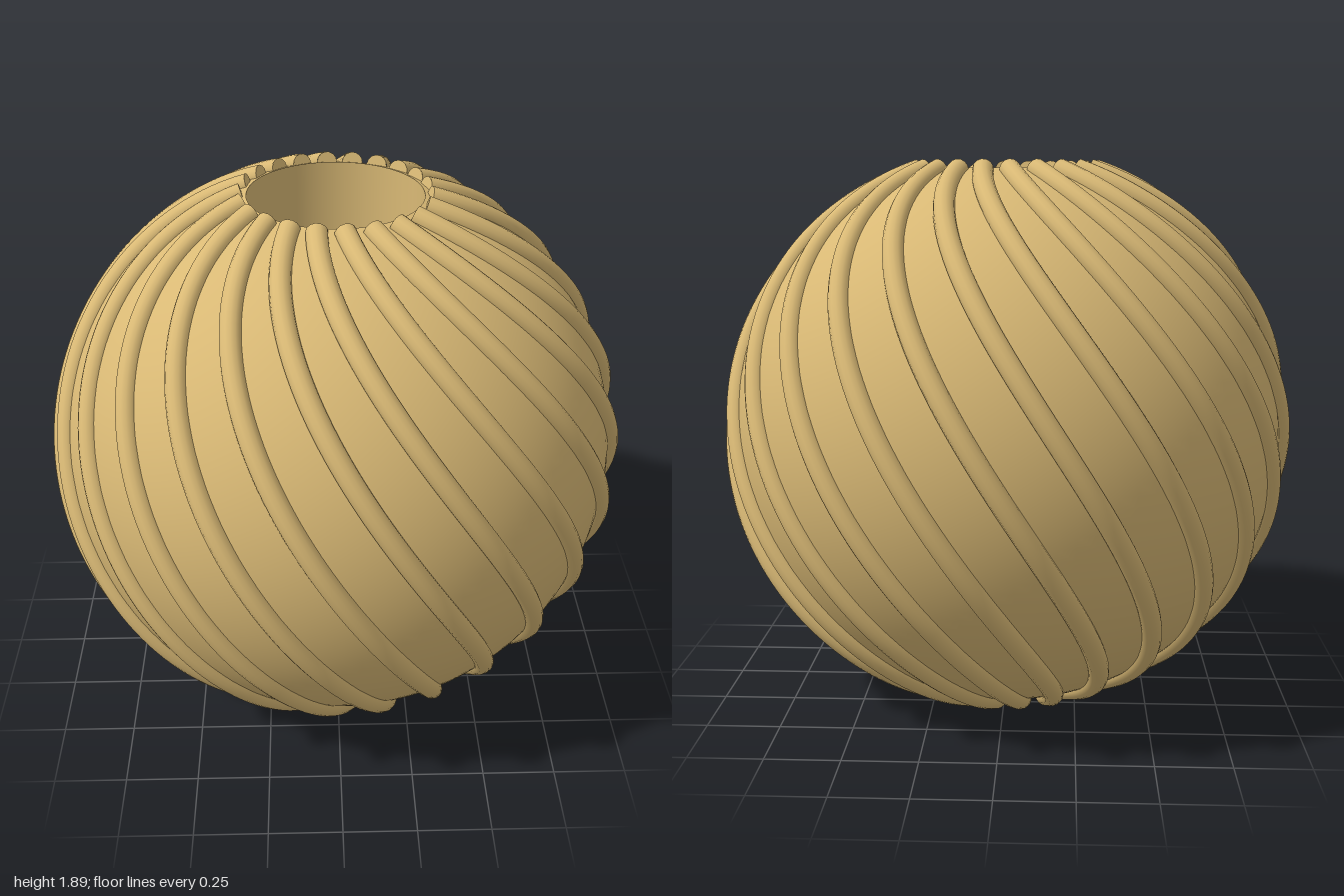
import * as THREE from 'three';
import { mergeGeometries } from 'three/addons/utils/BufferGeometryUtils.js';

const RADIUS = 0.963;      // bead sphere
const BORE = 0.29;         // through hole
const CENTRE_Y = 0.94;
const RIB_COUNT = 22;
const RIB_RADIUS = 0.035;
const RIB_LATITUDE = THREE.MathUtils.degToRad(71.5); // where the ribs end
const TWIST = Math.PI / 2; // turn of each rib from bottom to top

// Spiral on the sphere, turning evenly with latitude
class RibCurve extends THREE.Curve {
  getPoint(t, target = new THREE.Vector3()) {
    const latitude = RIB_LATITUDE * (2 * t - 1);
    const longitude = TWIST * (0.5 - t);
    const r = RADIUS * Math.cos(latitude);
    return target.set(r * Math.sin(longitude), RADIUS * Math.sin(latitude), r * Math.cos(longitude));
  }
}

// One rib: tube with flat caps
function ribGeometry() {
  const curve = new RibCurve();
  const parts = [new THREE.TubeGeometry(curve, 72, RIB_RADIUS, 14, false)];
  for (const t of [0, 1]) {
    const outward = curve.getTangent(t).multiplyScalar(t === 0 ? -1 : 1);
    const turn = new THREE.Quaternion().setFromUnitVectors(new THREE.Vector3(0, 0, 1), outward);
    const end = curve.getPoint(t);
    parts.push(new THREE.CircleGeometry(RIB_RADIUS, 14)
      .applyQuaternion(turn).translate(end.x, end.y, end.z));
  }
  return mergeGeometries(parts);
}

export function createModel() {
  const model = new THREE.Group();
  model.name = 'ribbedBead';
  const tan = new THREE.MeshStandardMaterial({ color: 0xd9b975 });
  tan.name = 'warm tan';

  const add = (geometry, name) => {
    const mesh = new THREE.Mesh(geometry, tan);
    mesh.name = name;
    mesh.position.y = CENTRE_Y;
    model.add(mesh);
    return mesh;
  };

  // Round shell, cut off where the bore meets it
  const rimLatitude = Math.acos(BORE / RADIUS);
  const profile = [];
  for (let i = 0; i <= 64; i++) {
    const a = rimLatitude * (i / 32 - 1);
    profile.push(new THREE.Vector2(RADIUS * Math.cos(a), RADIUS * Math.sin(a)));
  }
  add(new THREE.LatheGeometry(profile, 96), 'shell');

  // Straight hole wall, facing inward
  const rimY = RADIUS * Math.sin(rimLatitude);
  add(new THREE.LatheGeometry([new THREE.Vector2(BORE, rimY), new THREE.Vector2(BORE, -rimY)], 96), 'bore');

  // Spiral ribs around the shell
  const rib = ribGeometry();
  for (let i = 0; i < RIB_COUNT; i++) {
    add(rib, 'spiralRib').rotation.y = (i / RIB_COUNT) * Math.PI * 2;
  }
  return model;
}
